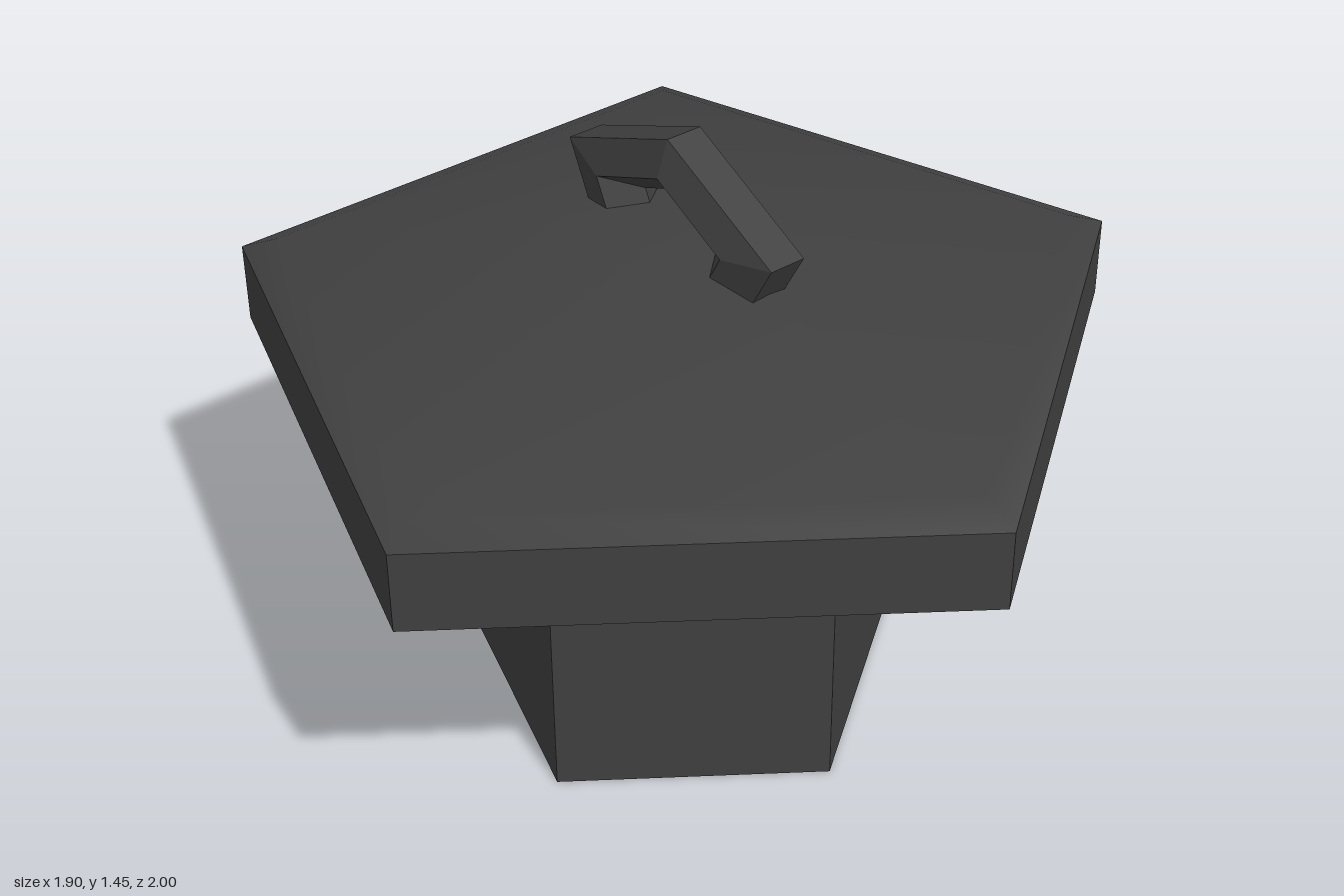
import * as THREE from 'three';
import { mergeVertices } from 'three/addons/utils/BufferGeometryUtils.js';

const SIDES = 5;
const CENTRE_X = -0.1;

export function createModel() {
  const group = new THREE.Group();
  const darkGrey = new THREE.MeshStandardMaterial({ color: 0x404040 });
  darkGrey.name = 'darkGrey';

  const add = (name, geometry, x, y) => {
    const mesh = new THREE.Mesh(geometry, darkGrey);
    mesh.name = name;
    mesh.position.set(x, y, 0);
    group.add(mesh);
    return mesh;
  };

  // Flat-sided copy of a geometry
  const faceted = (geometry) => {
    const flat = geometry.toNonIndexed();
    flat.computeVertexNormals();
    return flat;
  };

  // Five-sided turned form with one corner towards +x, from [radius, height] pairs
  const turned = (points) =>
    new THREE.LatheGeometry(points.map(([r, y]) => new THREE.Vector2(r, y)), SIDES, Math.PI / 2);

  // Pillar reaches up into the hollow underside of the slab
  add('pillar', faceted(turned([[0, 0], [0.535, 0], [0.535, 0.93]])), CENTRE_X, 0);

  // Slab edge with an underside that rises towards the middle
  add('slab', faceted(turned([[0, 1.02], [1.05, 0.808], [1.05, 1.002]])), CENTRE_X, 0);

  // Shallow pitched top with a steeper rim, smooth across its edges
  let roof = turned([[1.05, 1.002], [0.96, 1.037], [0, 1.257]]);
  roof.deleteAttribute('uv');
  roof.deleteAttribute('normal');
  roof = mergeVertices(roof, 1e-4);
  roof.computeVertexNormals();
  add('roof', roof, CENTRE_X, 0);

  // Squashed five-sided ring; the negative tube radius turns its section point inwards
  const ring = new THREE.TorusGeometry(0.263, -0.126, SIDES, SIDES);
  ring.rotateZ(Math.PI / 2);
  ring.scale(1, 0.615, 0.6);
  const handle = add('handle', faceted(ring), -0.096, 1.226);
  handle.rotation.z = -0.03;

  return group;
}
